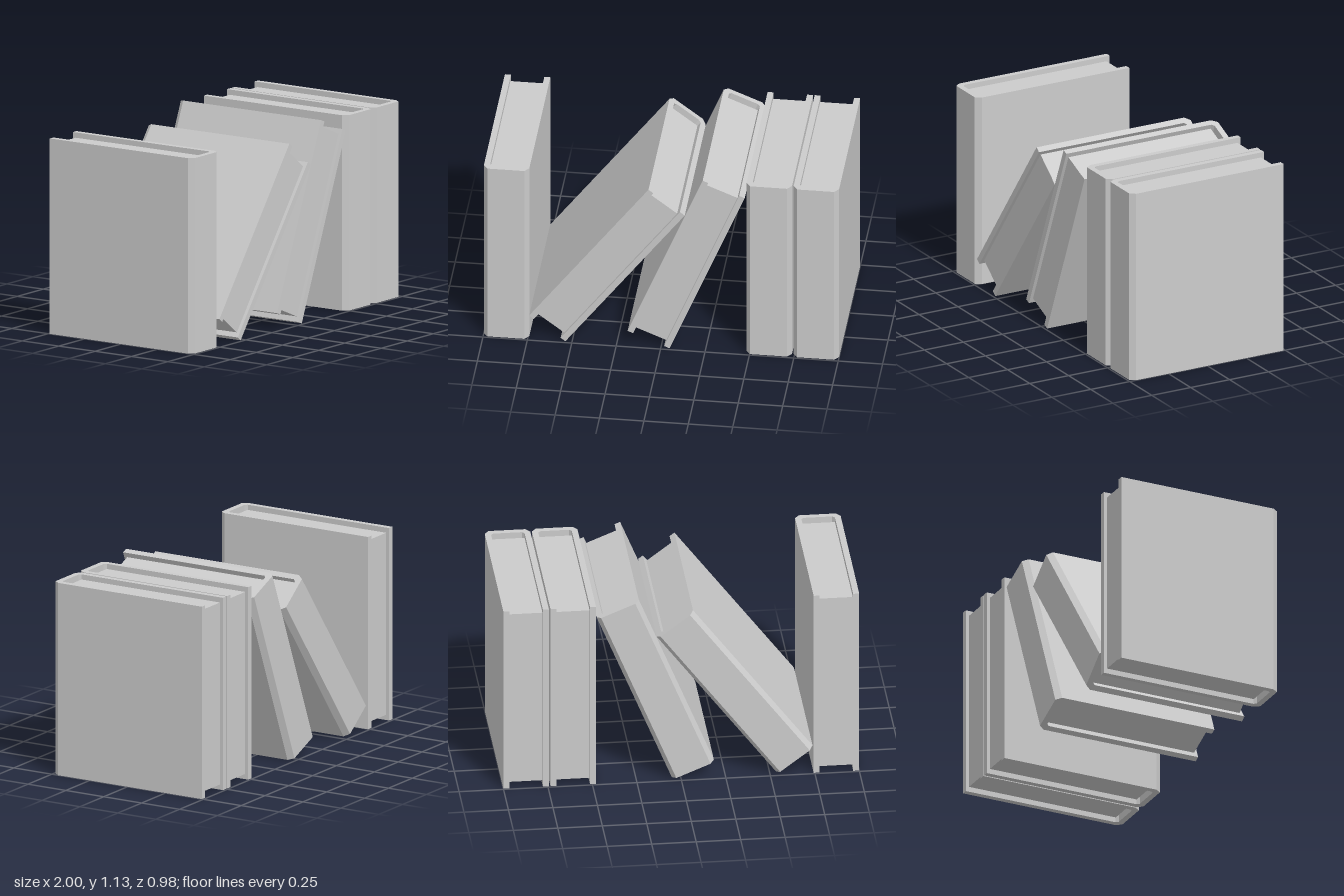
import * as THREE from 'three';

const W = 0.256, H = 1.114, D = 0.98; // book thickness, height, depth
const T = 0.034, INSET = 0.03;        // cover thickness, page inset
const material = new THREE.MeshStandardMaterial({ color: 0xcccccc, flatShading: true });

// U-shaped cover: two boards joined by a spine with chamfered corners at +z
function coverGeometry() {
  const w = W / 2, d = D / 2, i = w - T, s = d - T;
  const outline = [
    [-w, -d], [-i, -d], [-i, s - 0.014], [-i + 0.014, s],
    [i - 0.014, s], [i, s - 0.014], [i, -d], [w, -d],
    [w, d - 0.032], [w - 0.024, d], [-w + 0.024, d], [-w, d - 0.032],
  ];
  const shape = new THREE.Shape(outline.map(([x, z]) => new THREE.Vector2(x, -z)));
  const geometry = new THREE.ExtrudeGeometry(shape, { depth: H, bevelEnabled: false });
  return geometry.rotateX(-Math.PI / 2).translate(0, -H / 2, 0);
}

// Page block, set in from the top, bottom and open edge, with a gap at the spine
function pagesGeometry() {
  const back = -D / 2 + 0.02, front = D / 2 - T - 0.012;
  return new THREE.BoxGeometry(W - 2 * T, H - 2 * INSET, front - back)
    .translate(0, 0, (front + back) / 2);
}

export function createModel() {
  const model = new THREE.Group();
  model.name = 'rowOfBooks';
  const coverGeo = coverGeometry(), pagesGeo = pagesGeometry();

  // x and y of the centre, lean to the right in degrees, spine turned to the back
  const books = [
    ['uprightBookRight', -1 + W / 2, H / 2, 0, false],
    ['leaningBookLow', -0.303, 0.524, 37.1, true],
    ['leaningBookHigh', 0.143, 0.566, 22.3, true],
    ['uprightBookInner', 0.479 + W / 2, H / 2, 0, false],
    ['uprightBookLeft', 1 - W / 2, H / 2, 0, false],
  ];
  for (const [name, x, y, lean, spineBack] of books) {
    const book = new THREE.Group();
    book.name = name;
    const cover = new THREE.Mesh(coverGeo, material);
    cover.name = 'cover';
    const pages = new THREE.Mesh(pagesGeo, material);
    pages.name = 'pages';
    book.add(cover, pages);
    book.position.set(x, y, 0);
    // Turning about y mirrors the lean, so its sign follows the spine direction
    const angle = THREE.MathUtils.degToRad(lean);
    book.rotation.set(0, spineBack ? Math.PI : 0, spineBack ? angle : -angle);
    model.add(book);
  }
  return model;
}
